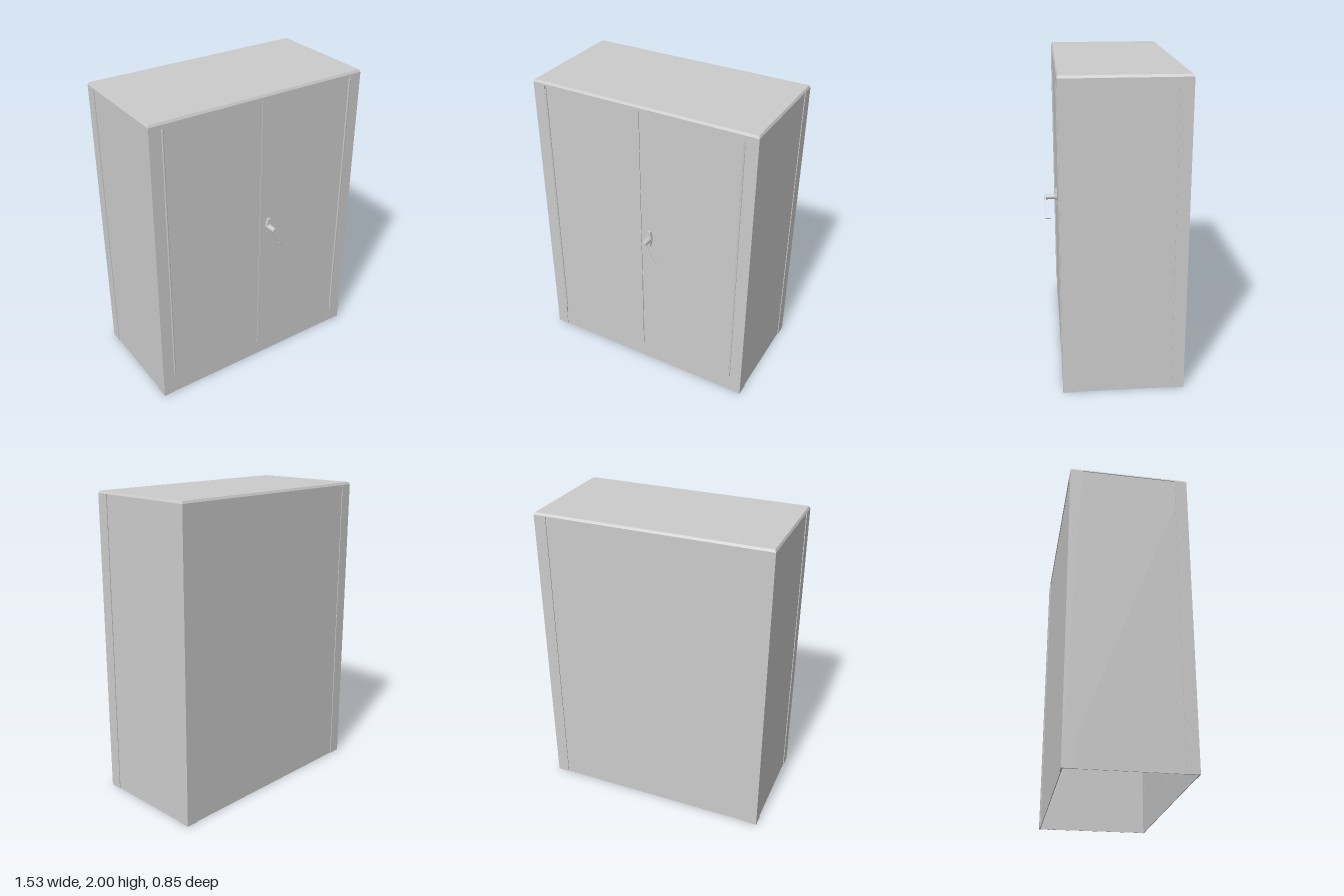
import * as THREE from 'three';

const material = new THREE.MeshStandardMaterial({ color: 0xcccccc, side: THREE.DoubleSide });

export function createModel() {
  const cabinet = new THREE.Group();
  cabinet.name = 'cabinet';

  const add = (name, geometry, parent = cabinet) => {
    const mesh = new THREE.Mesh(geometry, material);
    mesh.name = name;
    parent.add(mesh);
    return mesh;
  };
  // Box given by its limits on each axis
  const slab = (name, [x0, x1], [y0, y1], [z0, z1], parent) => {
    const mesh = add(name, new THREE.BoxGeometry(x1 - x0, y1 - y0, z1 - z0), parent);
    mesh.position.set((x0 + x1) / 2, (y0 + y1) / 2, (z0 + z1) / 2);
    return mesh;
  };
  // Flat plate cut from an outline, extruded from z0 to z1
  const plate = (name, points, z0, z1, parent) => {
    const shape = new THREE.Shape(points.map(([x, y]) => new THREE.Vector2(x, y)));
    const geometry = new THREE.ExtrudeGeometry(shape, { depth: z1 - z0, bevelEnabled: false });
    geometry.translate(0, 0, z0);
    return add(name, geometry, parent);
  };

  const sheet = 0.005, roofBase = 1.985, doorBase = 0.12, doorTop = 1.968;

  // Roof with a small chamfer around its upper edge
  const roof = new THREE.BoxGeometry(1.53, 2 - roofBase, 0.768);
  const p = roof.attributes.position;
  for (let i = 0; i < p.count; i++) {
    if (p.getY(i) > 0) {
      p.setX(i, p.getX(i) - Math.sign(p.getX(i)) * 0.008);
      p.setZ(i, p.getZ(i) - Math.sign(p.getZ(i)) * 0.008);
    }
  }
  roof.computeVertexNormals();
  add('roof', roof).position.set(0, (2 + roofBase) / 2, -0.041);

  // Open-bottomed shell
  slab('backPanel', [-0.755, 0.755], [0, roofBase], [-0.42, -0.42 + sheet]);
  slab('plinth', [-0.69, 0.69], [0, doorBase], [0.34 - sheet, 0.34]);
  slab('doorHeader', [-0.69, 0.69], [doorTop, roofBase], [0.34 - sheet, 0.34]);

  for (const s of [-1, 1]) {
    const side = s > 0 ? 'left' : 'right';
    const span = (a, b) => (s > 0 ? [a, b] : [-b, -a]);

    slab(side + 'SidePanel', span(0.76 - sheet, 0.76), [0, roofBase], [-0.415, 0.335]);
    slab(side + 'Door', span(0.003, 0.677), [doorBase, doorTop], [0.34 - sheet, 0.34]);

    // Angle-section corner posts, front and back
    for (const [name, outer, dir] of [['FrontPost', 0.343, 1], ['BackPost', -0.425, -1]]) {
      const post = new THREE.Group();
      post.name = side + name;
      cabinet.add(post);
      const depth = (a, b) => [Math.min(a, b), Math.max(a, b)];
      slab('face', span(0.685, 0.765), [0, roofBase], depth(outer, outer - dir * 0.007), post);
      slab('flange', span(0.758, 0.765), [0, roofBase], depth(outer, outer - dir * 0.08), post);
    }

    // Long hinge bar
    const hinge = add(side + 'Hinge', new THREE.CylinderGeometry(0.007, 0.007, 1.78, 8));
    hinge.position.set(s * 0.678, 1.06, 0.341);
  }

  // Door handle: backplate, spindle and slanting lever with a returned tip
  const handle = new THREE.Group();
  handle.name = 'handle';
  cabinet.add(handle);
  plate('backplate', [
    [0.054, 1.02], [0.073, 1.02], [0.076, 1.05], [0.085, 1.075], [0.08, 1.1], [0.075, 1.132],
    [0.054, 1.132], [0.048, 1.1], [0.043, 1.075], [0.051, 1.05],
  ], 0.338, 0.358, handle);
  const spindle = add('spindle', new THREE.CylinderGeometry(0.018, 0.018, 0.085, 24), handle);
  spindle.rotation.x = Math.PI / 2;
  spindle.position.set(0.063, 1.075, 0.3825);
  plate('lever', [
    [0.045, 1.075], [0.053, 1.046], [0.126, 0.938], [0.15, 0.951], [0.086, 1.07], [0.068, 1.092],
  ], 0.416, 0.422, handle);
  plate('leverTip', [
    [0.126, 0.938], [0.15, 0.951], [0.147, 0.957], [0.123, 0.944],
  ], 0.385, 0.422, handle);

  return cabinet;
}
